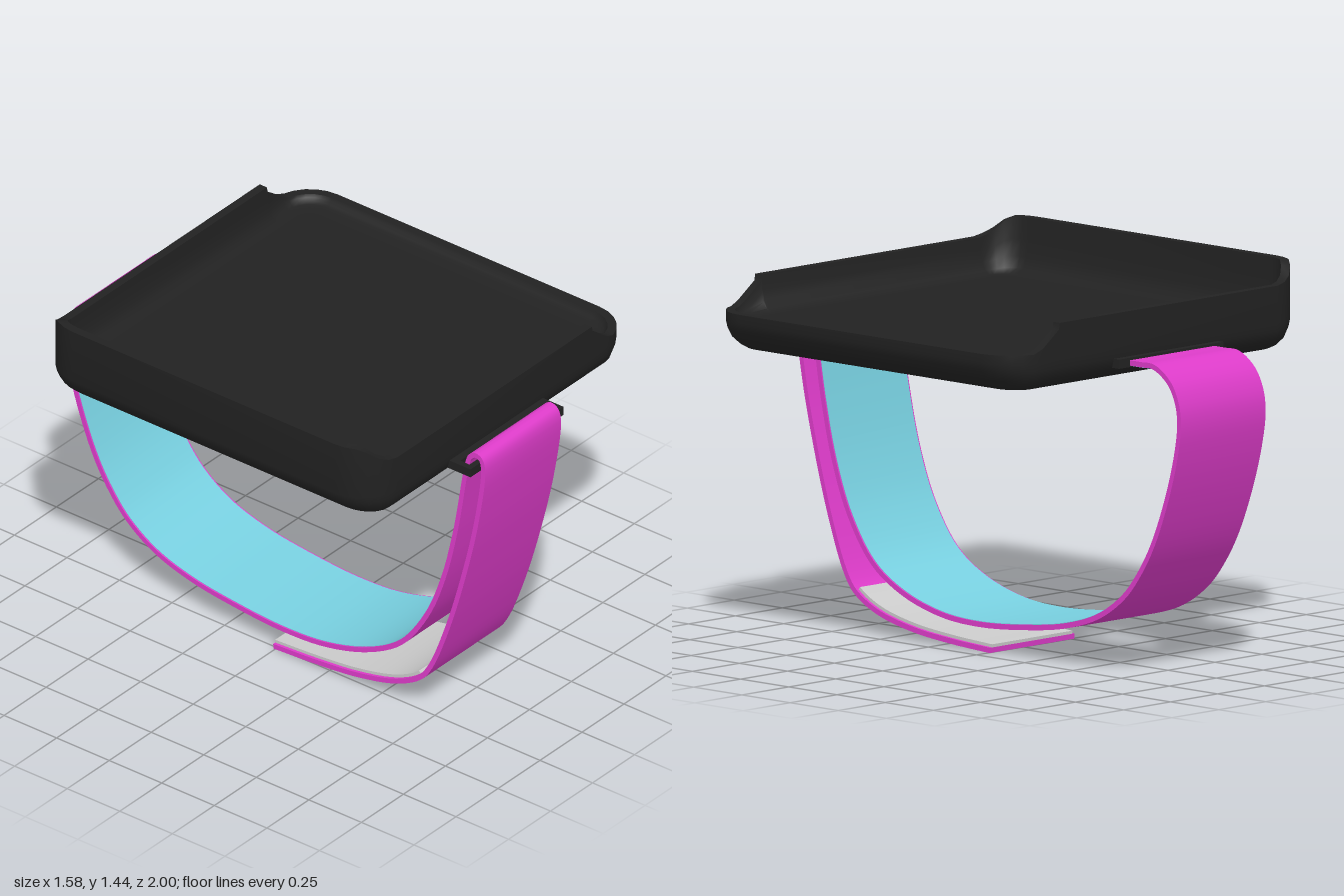
import * as THREE from 'three';
import { toCreasedNormals } from 'three/addons/utils/BufferGeometryUtils.js';

const mat = (color) => new THREE.MeshStandardMaterial({ color });
const black = mat(0x222222), magenta = mat(0xde3cca), cyan = mat(0x78d0e0), grey = mat(0xcccccc);

function add(parent, name, geometry, material) {
  const mesh = new THREE.Mesh(geometry, material);
  mesh.name = name;
  parent.add(mesh);
  return mesh;
}

// Height of the tray rim along x: tall left end, level sides, low right end
const RIM = [[-0.79, 1.445], [-0.757, 1.443], [-0.715, 1.4], [-0.65, 1.37],
  [0.535, 1.37], [0.54, 1.345], [0.65, 1.265], [0.79, 1.265]];
function rimHeight(x) {
  for (let i = 1; i < RIM.length; i++) {
    const [x0, y0] = RIM[i - 1], [x1, y1] = RIM[i];
    if (x <= x1) return y0 + (y1 - y0) * Math.max(0, (x - x0) / (x1 - x0));
  }
  return RIM[RIM.length - 1][1];
}

// Rounded-rectangle loop, pulled in by ix and iz
const HALF = 0.79, CORNER = 0.165, SEG = 6, MID_Z = 0.08;
function loop(ix, iz) {
  const pts = [];
  const corner = (sx, sz, start) => {
    const rx = Math.max(CORNER - ix, 0.06), rz = Math.max(CORNER - iz, 0.06);
    for (let i = 0; i <= SEG; i++) {
      const a = start + (i / SEG) * Math.PI / 2;
      pts.push([sx * (HALF - ix - rx) + rx * Math.cos(a), sz * (HALF - iz - rz) + rz * Math.sin(a)]);
    }
  };
  const side = (z, xs) => xs.forEach((x) => pts.push([x, z]));
  corner(1, 1, 0);
  side(HALF - iz, [0.54, 0.535]);
  corner(-1, 1, Math.PI / 2);
  corner(-1, -1, Math.PI);
  side(-HALF + iz, [0.535, 0.54]);
  corner(1, -1, Math.PI * 1.5);
  return pts;
}

// Shallow dish on a thick base: outside from the base up, over the rim, then down a fillet to the floor
function trayGeometry() {
  const BASE = 1.122, FLOOR = 1.235;
  const abs = (y) => () => y;
  const part = (k) => (h) => FLOOR + k * (h - FLOOR);
  const rings = [
    [0.13, 0.11, abs(BASE)], [0.09, 0.07, abs(BASE)], [0.068, 0.04, abs(1.135)],
    [0.035, 0.012, abs(1.163)], [0.01, 0.002, abs(1.2)], [0, 0, abs(1.23)], [0, 0, part(1)],
    [0.034, 0.034, part(1)], [0.04, 0.038, part(0.6)], [0.05, 0.048, part(0.3)],
    [0.065, 0.063, part(0.1)], [0.09, 0.085, part(0)], [0.12, 0.115, part(0)],
  ];
  const heights = loop(0, 0).map(([x]) => rimHeight(x));
  const n = heights.length, pos = [], idx = [];
  for (const [ix, iz, y] of rings) {
    loop(ix, iz).forEach(([x, z], i) => pos.push(x, y(heights[i]), z + MID_Z));
  }
  const base = pos.length / 3, floor = base + 1, last = (rings.length - 1) * n;
  pos.push(0, BASE, MID_Z, 0, FLOOR, MID_Z);
  for (let i = 0; i < n; i++) {
    const k = (i + 1) % n;
    for (let j = 0; j < rings.length - 1; j++) {
      const a = j * n + i, b = j * n + k, c = a + n, d = b + n;
      idx.push(a, c, b, b, c, d);
    }
    idx.push(base, i, k, floor, last + k, last + i);
  }
  const g = new THREE.BufferGeometry();
  g.setAttribute('position', new THREE.Float32BufferAttribute(pos, 3));
  g.setIndex(idx);
  return toCreasedNormals(g, 0.8);
}

// Strap centre line as (z, y): rear bracket, under the wrist, over the front bar, back underneath
const PATH = [[-0.72, 1.18], [-0.79, 1.18], [-0.86, 1.178], [-0.94, 1.125], [-0.98, 1.05], [-0.99, 0.97],
  [-0.97, 0.84], [-0.92, 0.67], [-0.85, 0.5], [-0.78, 0.385], [-0.7, 0.292], [-0.57, 0.205], [-0.4, 0.15],
  [-0.2, 0.12], [0.05, 0.103], [0.25, 0.118], [0.45, 0.177], [0.6, 0.27], [0.72, 0.435],
  [0.8, 0.63], [0.86, 0.87], [0.917, 1.19], [0.93, 1.218], [0.953, 1.232], [0.978, 1.222],
  [0.99, 1.18], [0.96, 0.95], [0.9, 0.69], [0.82, 0.42], [0.74, 0.22], [0.69, 0.152],
  [0.58, 0.09], [0.4, 0.045], [0.2, 0.023], [-0.008, 0.011]];
const curve = new THREE.CatmullRomCurve3(PATH.map(([z, y]) => new THREE.Vector3(z, y, 0)));

// Band following the path between two of its points, from offset lo to hi, spanning x0..x1
function band(from, to, lo, hi, x0, x1) {
  const steps = Math.round((to - from) * 5), left = [], right = [];
  for (let i = 0; i <= steps; i++) {
    const u = (from + (to - from) * i / steps) / (PATH.length - 1);
    const p = curve.getPoint(u), t = curve.getTangent(u);
    const at = (d) => new THREE.Vector2(p.x - t.y * d, p.y + t.x * d);
    left.push(at(hi));
    right.push(at(lo));
  }
  const shape = new THREE.Shape([...right, ...left.reverse()]);
  const g = new THREE.ExtrudeGeometry(shape, { depth: x1 - x0, bevelEnabled: false });
  g.rotateY(-Math.PI / 2).translate(x1, 0, 0);
  return toCreasedNormals(g, 0.6);
}

export function createModel() {
  const model = new THREE.Group();
  model.name = 'wristMount';

  add(model, 'tray', trayGeometry(), black);

  // Strap loops: a rectangular frame at the front, a bracket at the rear
  const bar = (parent, name, x0, x1, z0, z1) =>
    add(parent, name, new THREE.BoxGeometry(x1 - x0, 0.035, z1 - z0), black)
      .position.set((x0 + x1) / 2, 1.182, (z0 + z1) / 2);
  const frontLoop = new THREE.Group();
  frontLoop.name = 'frontLoop';
  bar(frontLoop, 'innerBar', -0.31, 0.245, 0.85, 0.9);
  bar(frontLoop, 'outerBar', -0.31, 0.245, 0.943, 0.967);
  bar(frontLoop, 'rightBar', -0.31, -0.286, 0.89, 0.945);
  bar(frontLoop, 'leftBar', 0.221, 0.245, 0.89, 0.945);
  model.add(frontLoop);
  bar(model, 'rearBracket', -0.31, 0.245, -0.735, -0.69);

  // Strap with a lining on the wrist side and a fastening pad near its free end
  const X0 = -0.263, X1 = 0.188, END = PATH.length - 1;
  add(model, 'strap', band(0, END, -0.01, 0.01, X0, X1), magenta);
  add(model, 'strapLining', band(0, 20.9, 0.009, 0.012, X0 + 0.006, X1 - 0.006), cyan);
  add(model, 'fasteningPad', band(30, END, -0.022, -0.009, X0 + 0.012, X1 - 0.012), grey);
  return model;
}
